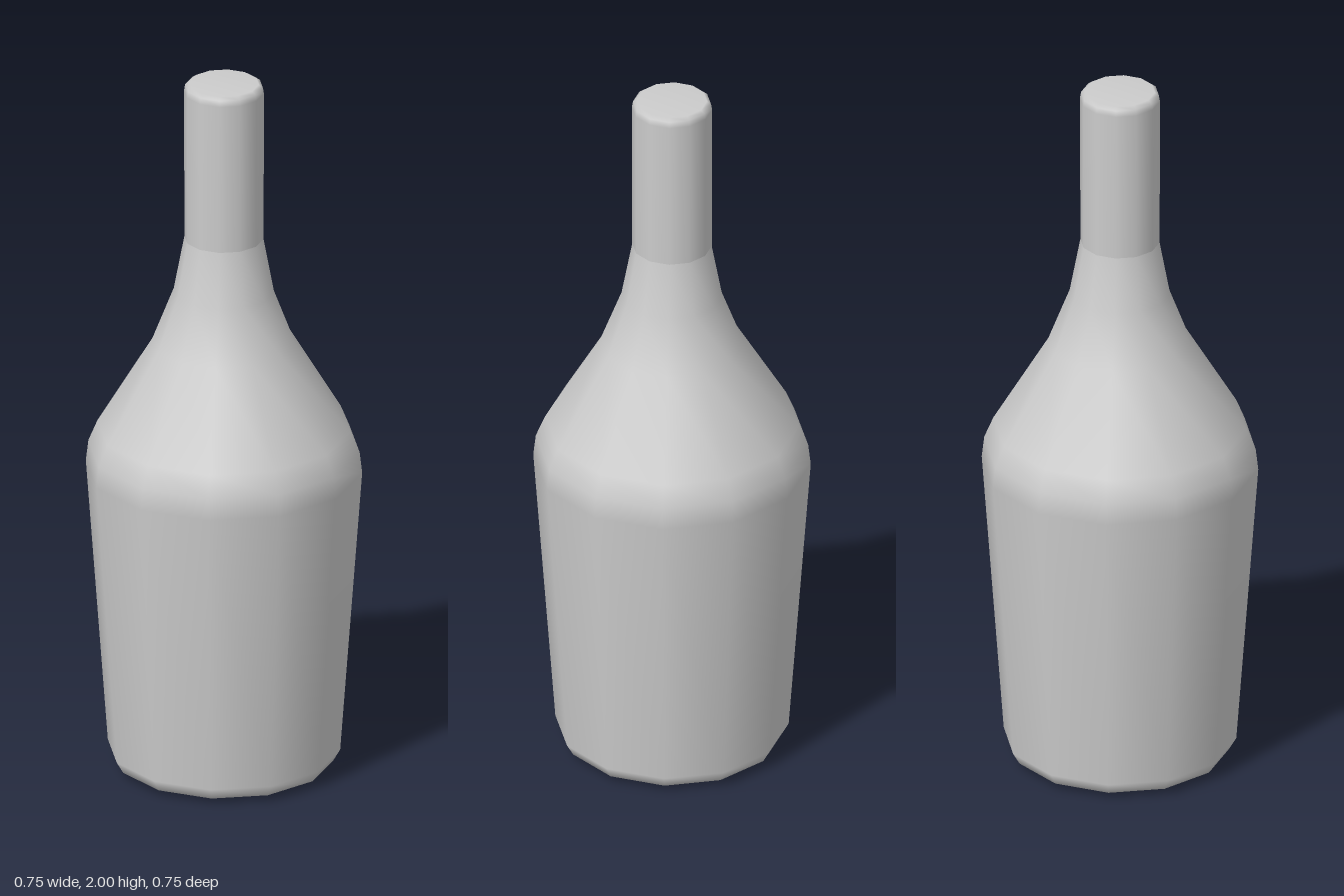
import * as THREE from 'three';

const SIDES = 12;

// Revolve a [radius, height] profile, listed from bottom to top
function turned(name, profile, material) {
  const points = profile.map(([r, y]) => new THREE.Vector2(r, y));
  const mesh = new THREE.Mesh(new THREE.LatheGeometry(points, SIDES), material);
  mesh.name = name;
  return mesh;
}

export function createModel() {
  const group = new THREE.Group();
  group.name = 'bottle';
  const material = new THREE.MeshStandardMaterial({ color: 0xcccccc });

  // Rounded base, flaring body, shoulder and taper
  group.add(turned('body', [
    [0, 0], [0.25, 0], [0.298, 0.017], [0.317, 0.05],
    [0.377, 0.87], [0.37, 0.93], [0.345, 0.99],
    [0.195, 1.24], [0.137, 1.39], [0.108, 1.545],
  ], material));

  // Straight neck with a closed, slightly rounded top
  group.add(turned('neck', [
    [0.108, 1.545], [0.109, 1.975], [0.106, 1.992], [0.095, 2], [0, 2],
  ], material));

  return group;
}
